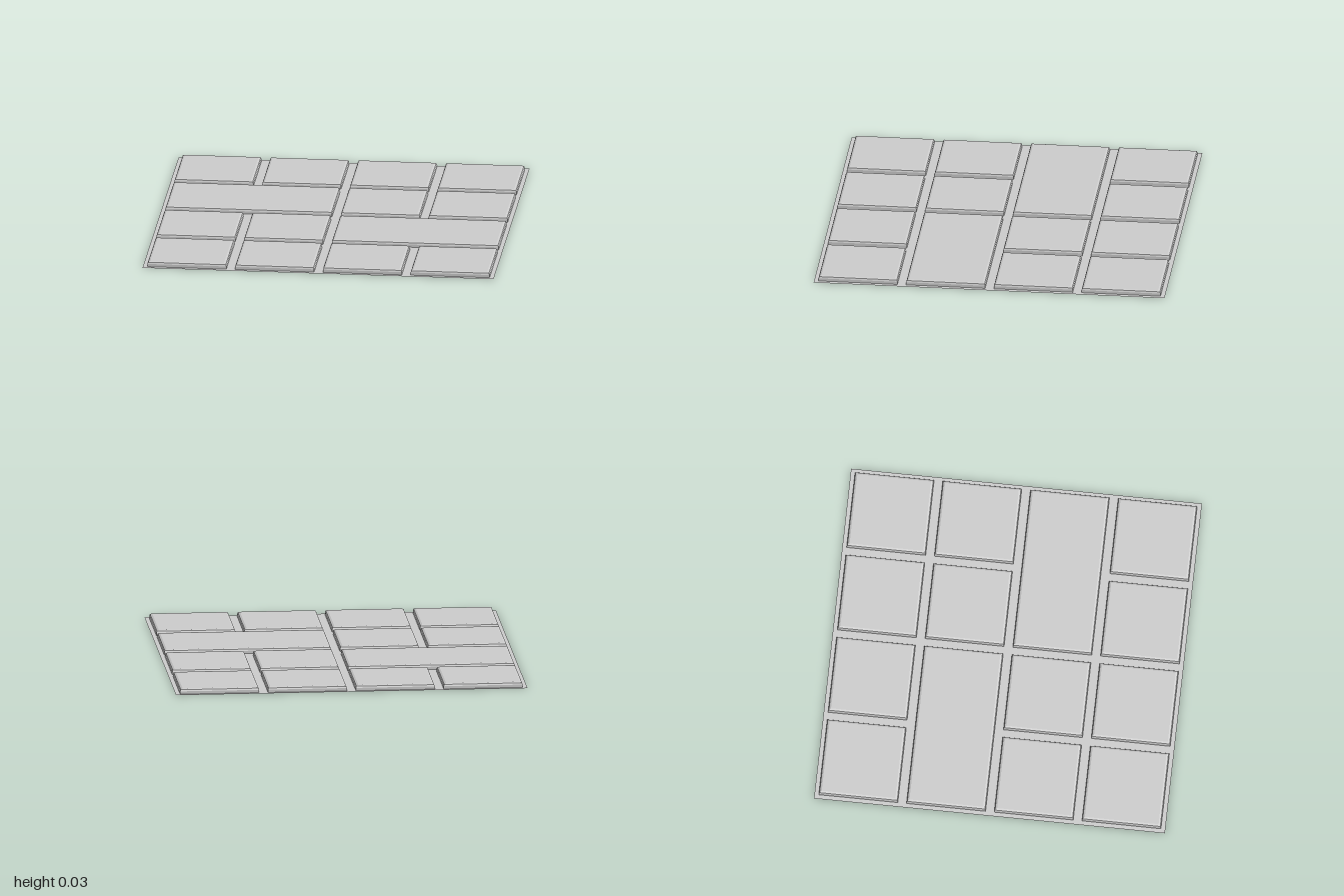
import * as THREE from 'three';

const CELL = 0.5, GAP = 0.025;
// Tile edge profile: [inset from the tile edge, height]
const PROFILE = [[0, 0], [0, 0.016], [0.004, 0.025], [0.015, 0.03]];
// Tile widths in cells, back row first, from -x to +x
const ROWS = [[1, 1, 1, 1], [2, 1, 1], [1, 1, 2], [1, 1, 1, 1]];

const material = new THREE.MeshStandardMaterial({ color: 0xcccccc, side: THREE.DoubleSide, flatShading: true });

// Hollow bevelled slab, open underneath, built from rectangular rings
function tileGeometry(width, depth) {
  const positions = [], index = [];
  for (const [inset, y] of PROFILE) {
    const x = width / 2 - inset, z = depth / 2 - inset;
    positions.push(-x, y, z, x, y, z, x, y, -z, -x, y, -z);
  }
  const last = PROFILE.length - 1;
  for (let r = 0; r < last; r++) {
    for (let i = 0; i < 4; i++) {
      const a = r * 4 + i, b = r * 4 + (i + 1) % 4;
      index.push(a, b, b + 4, a, b + 4, a + 4);
    }
  }
  const t = last * 4;
  index.push(t, t + 1, t + 2, t, t + 2, t + 3);
  const indexed = new THREE.BufferGeometry();
  indexed.setAttribute('position', new THREE.Float32BufferAttribute(positions, 3));
  indexed.setIndex(index);
  const geometry = indexed.toNonIndexed();
  geometry.computeVertexNormals();
  return geometry;
}

function rectangle(path, x0, y0, x1, y1) {
  path.moveTo(x0, y0);
  path.lineTo(x1, y0);
  path.lineTo(x1, y1);
  path.lineTo(x0, y1);
  path.closePath();
  return path;
}

export function createModel() {
  const model = new THREE.Group();
  model.name = 'tiledFloor';
  const tiles = new THREE.Group();
  tiles.name = 'tiles';
  const groutShape = rectangle(new THREE.Shape(), -1, -1, 1, 1);

  // Raised tiles, each over its own opening in the grout
  ROWS.forEach((row, r) => {
    const z = -1 + (r + 0.5) * CELL;
    let left = -1;
    for (const cells of row) {
      const width = cells * CELL - 2 * GAP, depth = CELL - 2 * GAP;
      const x = left + cells * CELL / 2;
      const tile = new THREE.Mesh(tileGeometry(width, depth), material);
      tile.name = cells > 1 ? 'longTile' : 'squareTile';
      tile.position.set(x, 0, z);
      tiles.add(tile);
      groutShape.holes.push(rectangle(new THREE.Path(), x - width / 2, -z - depth / 2, x + width / 2, -z + depth / 2));
      left += cells * CELL;
    }
  });

  // Thin grout sheet between the tiles
  const grout = new THREE.Mesh(new THREE.ShapeGeometry(groutShape).rotateX(-Math.PI / 2), material);
  grout.name = 'grout';
  model.add(grout, tiles);
  return model;
}
